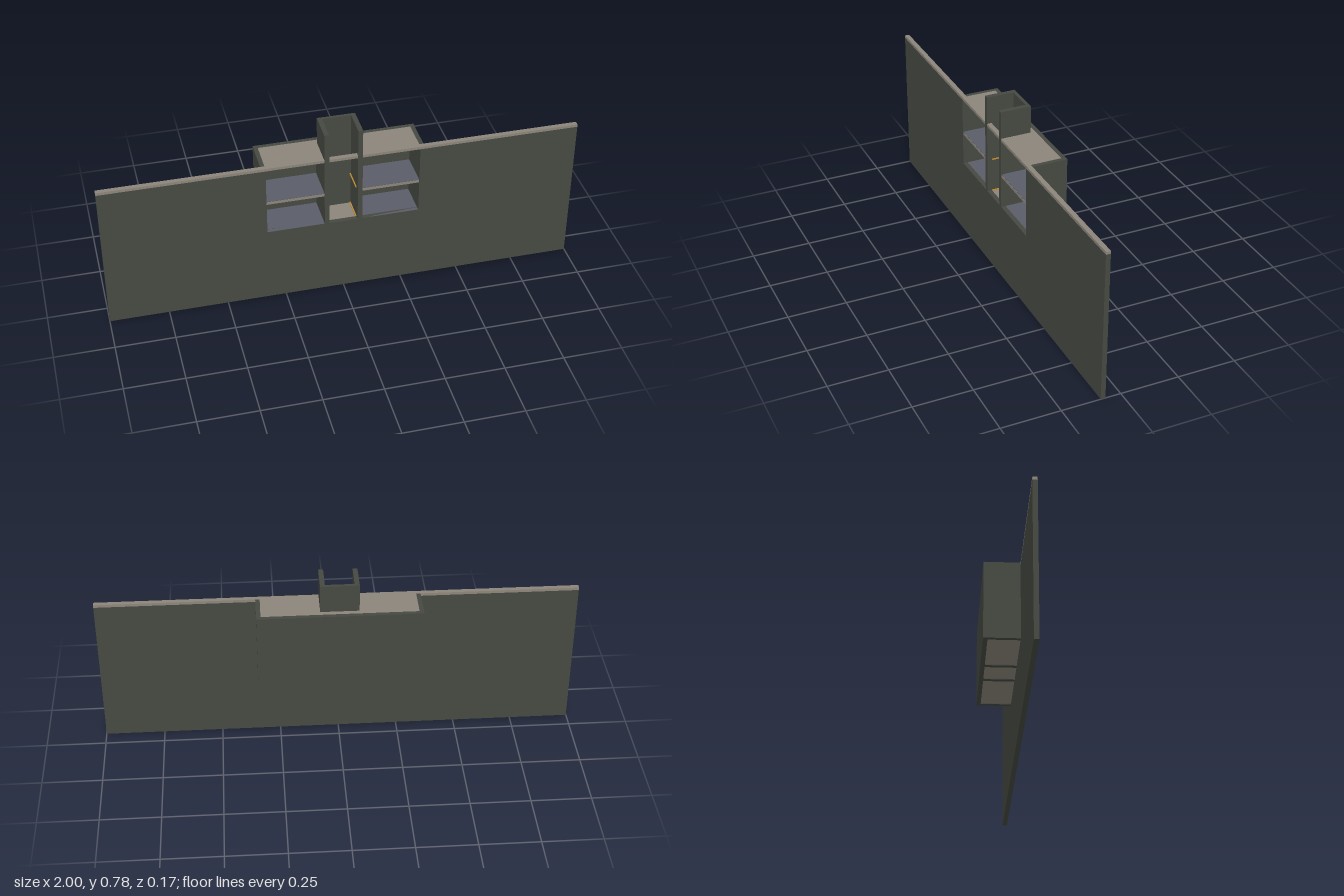
import * as THREE from 'three';

const paint = (color) => new THREE.MeshStandardMaterial({ color });

export function createModel() {
  const model = new THREE.Group();
  const dark = paint(0x464942), stone = paint(0x8c857a);
  const slate = paint(0x5a5d68), amber = paint(0xc08a30);

  // Box given by its limits on each axis
  function slab(name, material, [x0, x1], [y0, y1], [z0, z1]) {
    const mesh = new THREE.Mesh(new THREE.BoxGeometry(x1 - x0, y1 - y0, z1 - z0), material);
    mesh.position.set((x0 + x1) / 2, (y0 + y1) / 2, (z0 + z1) / 2);
    mesh.name = name;
    model.add(mesh);
  }
  // The same box on the left (+x) and right (-x)
  function pair(name, material, [x0, x1], y, z) {
    slab(name + 'Left', material, [x0, x1], y, z);
    slab(name + 'Right', material, [-x1, -x0], y, z);
  }

  // Long wall panel with an opening cut down from its top edge
  const outline = new THREE.Shape([
    [-1, 0], [1, 0], [1, 0.648], [0.322, 0.648], [0.322, 0.34],
    [-0.322, 0.34], [-0.322, 0.648], [-1, 0.648],
  ].map(([x, y]) => new THREE.Vector2(x, y)));
  const panel = new THREE.Mesh(
    new THREE.ExtrudeGeometry(outline, { depth: 0.02, bevelEnabled: false }), dark);
  panel.position.z = 0.065;
  panel.name = 'wallPanel';
  model.add(panel);

  // Coping along the top edge, interrupted by the column walls
  pair('coping', stone, [0.08, 1], [0.648, 0.66], [0.065, 0.085]);
  slab('copingMiddle', stone, [-0.06, 0.06], [0.648, 0.66], [0.065, 0.085]);

  // Cabinet shell behind the panel
  slab('cabinetBack', dark, [-0.34, 0.34], [0.32, 0.66], [-0.085, -0.067]);
  pair('cabinetSide', dark, [0.322, 0.34], [0.32, 0.66], [-0.067, 0.065]);
  pair('cabinetTop', stone, [0.08, 0.322], [0.64, 0.66], [-0.067, 0.065]);
  slab('cabinetTopBehindColumn', stone, [-0.08, 0.08], [0.64, 0.66], [-0.067, -0.047]);

  // Compartment floors and shelves, with slate tops and light strips
  pair('compartmentFloor', stone, [0.08, 0.322], [0.324, 0.338], [-0.067, 0.065]);
  pair('floorLining', slate, [0.08, 0.322], [0.338, 0.34], [-0.067, 0.083]);
  pair('shelf', stone, [0.08, 0.322], [0.48, 0.492], [-0.067, 0.083]);
  pair('shelfLining', slate, [0.08, 0.322], [0.492, 0.494], [-0.067, 0.082]);
  pair('shelfLight', stone, [0.14, 0.26], [0.474, 0.48], [0, 0.015]);
  pair('topLight', stone, [0.14, 0.26], [0.634, 0.64], [0, 0.015]);

  // Central U-shaped column rising above the cabinet
  pair('columnWall', dark, [0.06, 0.08], [0.32, 0.78], [-0.047, 0.085]);
  pair('columnDivider', dark, [0.06, 0.08], [0.32, 0.64], [-0.067, -0.047]);
  slab('columnBack', dark, [-0.06, 0.06], [0.34, 0.78], [-0.047, -0.033]);
  slab('columnFloor', stone, [-0.06, 0.06], [0.324, 0.34], [-0.067, 0.065]);

  // Slim amber strips along the inner column walls
  for (const y of [0.34, 0.488]) {
    pair('amberStrip', amber, [0.055, 0.06], [y, y + 0.004], [-0.033, 0.065]);
  }

  return model;
}
